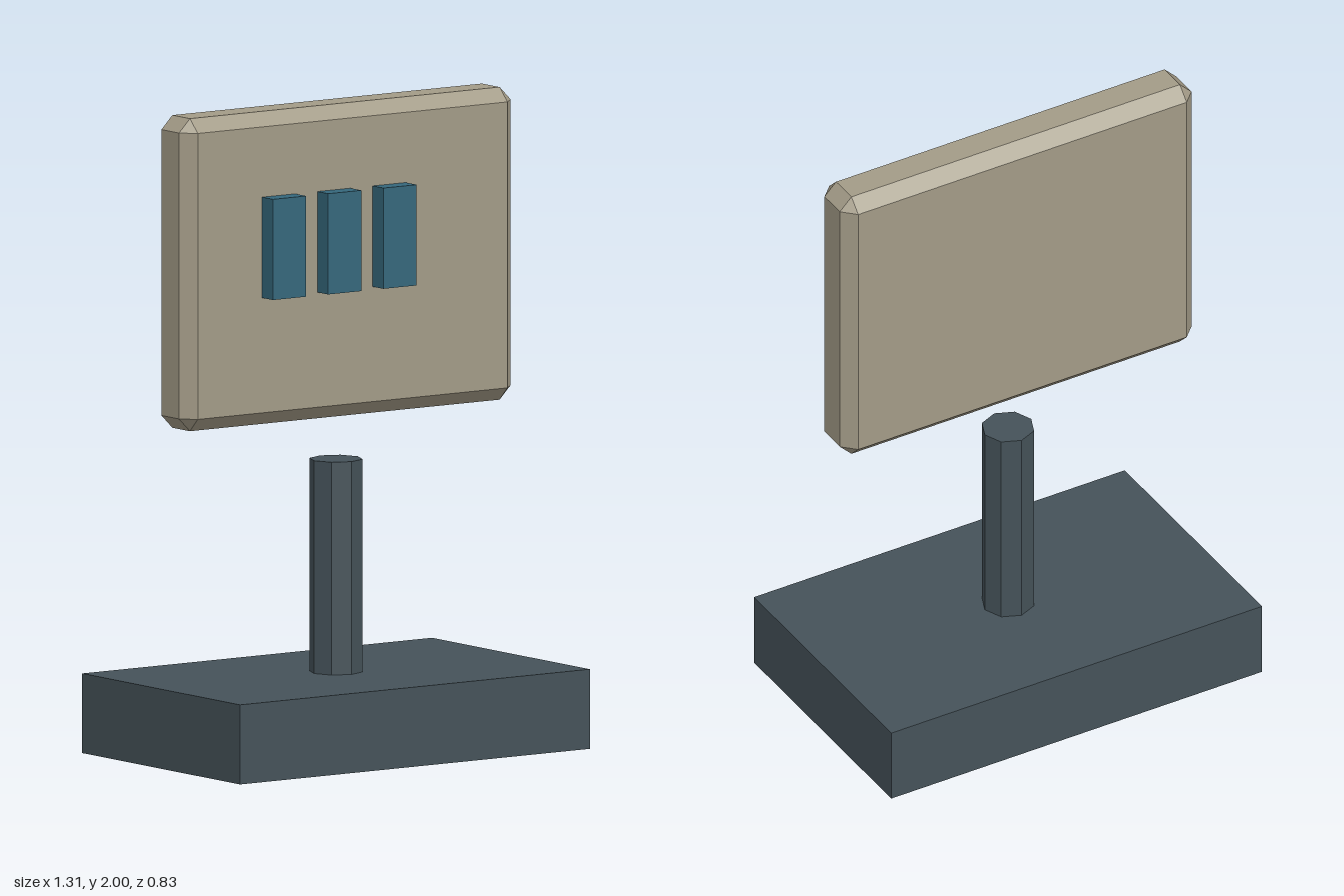
import * as THREE from 'three';
import { ConvexGeometry } from 'three/addons/geometries/ConvexGeometry.js';

const material = (color) => new THREE.MeshStandardMaterial({ color, flatShading: true });

// Box with every edge cut at 45 degrees and a triangle at each corner
function chamferedBox(width, height, depth, cut) {
  const points = [];
  const [x, y, z] = [width / 2, height / 2, depth / 2];
  for (const sx of [-1, 1]) for (const sy of [-1, 1]) for (const sz of [-1, 1]) {
    points.push(
      new THREE.Vector3(sx * x, sy * (y - cut), sz * (z - cut)),
      new THREE.Vector3(sx * (x - cut), sy * y, sz * (z - cut)),
      new THREE.Vector3(sx * (x - cut), sy * (y - cut), sz * z),
    );
  }
  return new ConvexGeometry(points);
}

export function createModel() {
  const model = new THREE.Group();
  model.name = 'displayStand';
  const slate = material(0x455259);
  const beige = material(0xa39b87);
  const blue = material(0x35677b);

  const add = (name, geometry, mat, x, y, z) => {
    const mesh = new THREE.Mesh(geometry, mat);
    mesh.name = name;
    mesh.position.set(x, y, z);
    model.add(mesh);
  };

  // Base slab and octagonal post
  add('base', new THREE.BoxGeometry(1.31, 0.245, 0.826), slate, 0, 0.1225, 0);
  add('post', new THREE.CylinderGeometry(0.082, 0.082, 0.655, 8), slate, 0, 0.5725, 0);

  // Panel floating above the post
  add('panel', chamferedBox(1.242, 0.962, 0.174, 0.041), beige, 0, 1.519, 0);

  // Row of raised blocks on the panel's front
  const block = new THREE.BoxGeometry(0.124, 0.31, 0.057);
  for (let i = 0; i < 3; i++) {
    add(`frontBlock${i + 1}`, block, blue, -0.278 + i * 0.207, 1.588, 0.1165);
  }
  return model;
}
